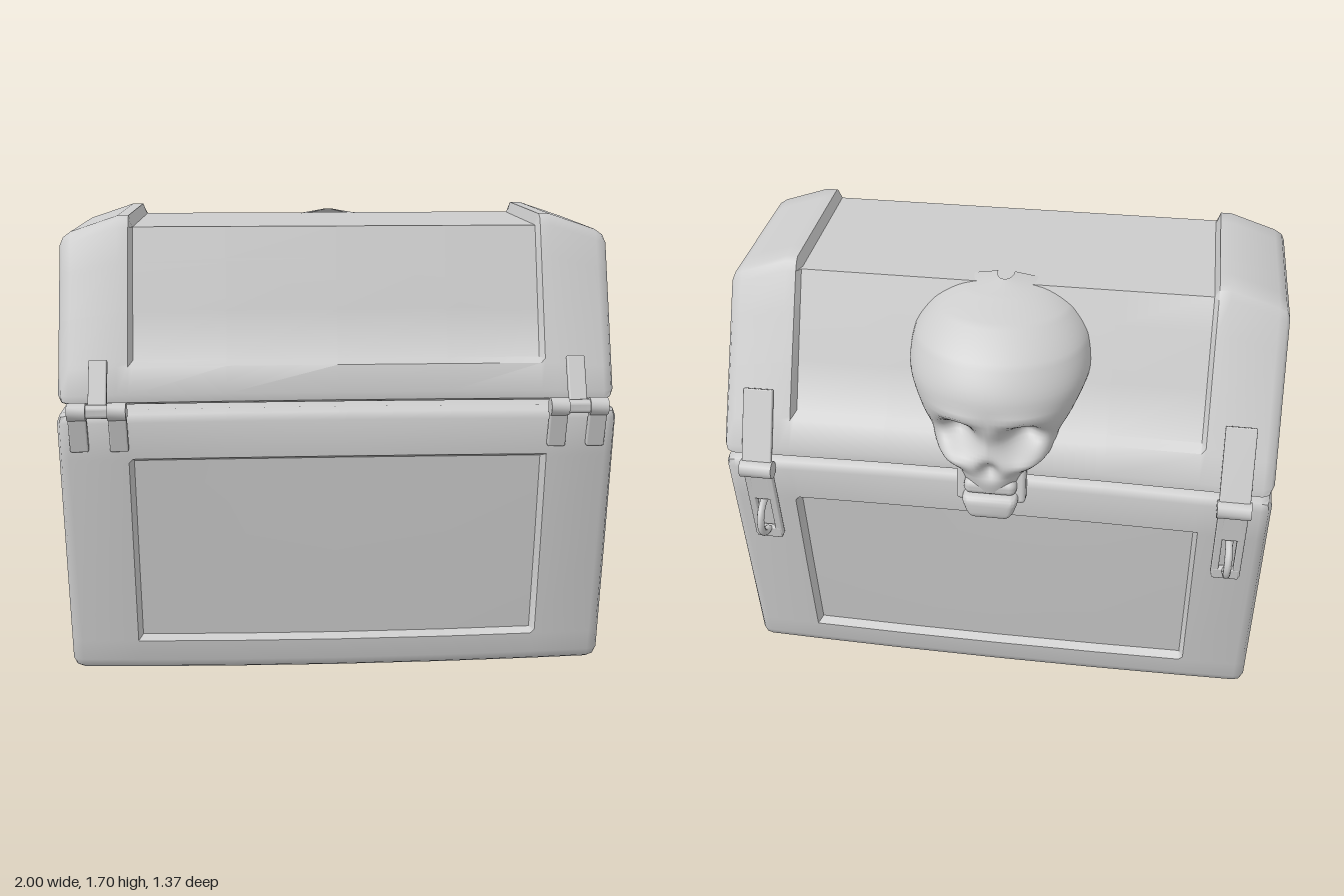
import * as THREE from 'three';
import { toCreasedNormals } from 'three/addons/utils/BufferGeometryUtils.js';
import { RoundedBoxGeometry } from 'three/addons/geometries/RoundedBoxGeometry.js';
import { ParametricGeometry } from 'three/addons/geometries/ParametricGeometry.js';

const material = new THREE.MeshStandardMaterial({ color: 0xcccccc });
const thin = new THREE.MeshStandardMaterial({ color: 0xcccccc, side: THREE.DoubleSide });
const { lerp, clamp } = THREE.MathUtils;

function add(parent, name, geometry, x = 0, y = 0, z = 0, mat = material) {
  const mesh = new THREE.Mesh(geometry, mat);
  mesh.name = name;
  mesh.position.set(x, y, z);
  parent.add(mesh);
  return mesh;
}

// Mirror a list of positive cut positions about zero
const sym = (list) => [...list.map((v) => -v).reverse(), 0, ...list];

// Box whose grid lines lie at given cuts, with edges rounded, then reshaped by a rule
function gridBox(xs, ys, zs, radius, rule) {
  const cuts = [xs, ys, zs];
  const geo = new THREE.BoxGeometry(2, 2, 2, ...cuts.map((c) => c.length - 1));
  const pos = geo.attributes.position;
  const normals = geo.attributes.normal;
  const p = new THREE.Vector3(), n = new THREE.Vector3(), q = new THREE.Vector3();
  for (let i = 0; i < pos.count; i++) {
    p.fromBufferAttribute(pos, i);
    n.fromBufferAttribute(normals, i);
    ['x', 'y', 'z'].forEach((k, a) => {
      const c = cuts[a], last = c.length - 1;
      p[k] = c[Math.round((p[k] + 1) / 2 * last)];
      q[k] = clamp(p[k], c[0] + radius, c[last] - radius);
    });
    p.sub(q).setLength(radius).add(q);
    rule(p, n);
    pos.setXYZ(i, p.x, p.y, p.z);
  }
  geo.deleteAttribute('normal');
  geo.deleteAttribute('uv');
  return toCreasedNormals(geo, 0.9);
}

// Flat bar in the y-z plane running between two [z, y] points
function bar(parent, name, x, width, thick, [z0, y0], [z1, y1]) {
  const length = Math.hypot(z1 - z0, y1 - y0);
  const geo = new RoundedBoxGeometry(width, length, thick, 2, thick * 0.25);
  const mesh = add(parent, name, geo, x, (y0 + y1) / 2, (z0 + z1) / 2);
  mesh.rotation.x = Math.atan2(z1 - z0, y1 - y0);
  return mesh;
}

function rod(parent, name, x, y, z, radius, length) {
  const geo = new THREE.CylinderGeometry(radius, radius, length, 16);
  add(parent, name, toCreasedNormals(geo, 0.9), x, y, z).rotation.z = Math.PI / 2;
}

// Tapered lower box with a sunken panel on each upright face
function bodyGeometry() {
  const xs = sym([0.4, 0.735, 0.75, 0.96, 1]);
  const ys = [0.01, 0.05, 0.13, 0.145, 0.5, 0.85, 0.865, 1, 1.04];
  const zs = sym([0.2, 0.415, 0.43, 0.56, 0.6]);
  return gridBox(xs, ys, zs, 0.04, (p, n) => {
    const t = (p.y - 0.01) / 1.03, a = Math.abs(p.z), s = Math.sign(p.z);
    const panelY = p.y > 0.14 && p.y < 0.86;
    const inner = lerp(0.41, 0.44, t), outer = lerp(0.51, 0.62, t);
    const sideInset = Math.abs(n.x) > 0.5 && a < 0.42 && panelY;
    const longInset = Math.abs(n.z) > 0.5 && Math.abs(p.x) < 0.74 && panelY;
    p.z = s * (a <= 0.43 ? a / 0.43 * inner : lerp(inner, outer, (a - 0.43) / 0.17));
    const bow = 1 - p.x * p.x;
    p.z = p.z * (1 - 0.045 * bow * t ** 4) + 0.015;
    if (longInset) p.z -= s * 0.035;
    if (sideInset) p.x -= Math.sign(p.x) * 0.035;
    if (p.y < 0.2) p.y += 0.015 * (1 - bow) - 0.005;
  });
}

// Sloped lid with raised end caps, a lowered middle and sunken end panels
function lidGeometry() {
  const xs = sym([0.4, 0.735, 0.75, 0.79, 0.96, 1]);
  const ys = [1.05, 1.09, 1.185, 1.2, 1.37, 1.535, 1.55, 1.66, 1.7];
  const zs = sym([0.2, 0.385, 0.4, 0.56, 0.6]);
  return gridBox(xs, ys, zs, 0.04, (p, n) => {
    const t = (p.y - 1.05) / 0.65, ax = Math.abs(p.x);
    const middle = ax < 0.74 && p.y > 1.195;
    const sideInset = Math.abs(n.x) > 0.5 && Math.abs(p.z) < 0.39 && p.y > 1.19 && p.y < 1.54;
    const bow = (1 - p.x * p.x) * (1 - t) ** 4;
    p.z = p.z * (1 - 0.5 * t) * (1 - 0.03 * bow) + lerp(-0.01, 0.04, t);
    if (middle) {
      p.z = (p.z - 0.03) * 0.93 + 0.03;
      p.y = Math.min(p.y, 1.66);
    } else {
      p.y -= 0.07 * t * Math.max(0, (ax - 0.79) / 0.21);
    }
    if (sideInset) p.x -= Math.sign(p.x) * 0.03;
  });
}

// Skull relief: half-sections listed as [y, half width, face z, rear z]
function skullGeometry() {
  const rows = [
    [1.675, 0.03, -0.26, -0.2], [1.65, 0.16, -0.34, -0.2], [1.6, 0.25, -0.47, -0.23],
    [1.52, 0.31, -0.58, -0.27], [1.41, 0.325, -0.65, -0.32], [1.3, 0.28, -0.66, -0.4],
    [1.22, 0.235, -0.655, -0.45], [1.15, 0.21, -0.675, -0.47], [1.09, 0.14, -0.665, -0.48],
    [1.02, 0.11, -0.65, -0.5],
  ];
  const sizes = new THREE.CatmullRomCurve3(rows.map((r) => new THREE.Vector3(r[1], r[2], r[3])));
  const heights = new THREE.CatmullRomCurve3(rows.map((r) => new THREE.Vector3(0, r[0], 0)));
  const dent = (x, y, cx, cy, rx, ry) => Math.exp(-(((x - cx) / rx) ** 2) - ((y - cy) / ry) ** 2);
  const geo = new ParametricGeometry((u, v, out) => {
    const angle = (u - 0.5) * Math.PI;
    const s = sizes.getPoint(v), y = heights.getPoint(v).y;
    const x = s.x * Math.sin(angle);
    let z = lerp(s.z, s.y, Math.cos(angle) ** 0.8);
    // Eye sockets and nose
    z += 0.1 * dent(Math.abs(x), y, 0.115, 1.24, 0.065, 0.055);
    z += 0.045 * dent(x, y, 0, 1.125, 0.035, 0.035);
    // Brow and cheekbones
    z -= 0.015 * dent(Math.abs(x), y, 0.11, 1.33, 0.09, 0.03);
    z -= 0.02 * dent(Math.abs(x), y, 0.14, 1.15, 0.05, 0.03);
    out.set(x, y, z);
  }, 48, 48);
  return geo;
}

export function createModel() {
  const chest = new THREE.Group();
  chest.name = 'chest';
  add(chest, 'body', bodyGeometry());
  add(chest, 'lid', lidGeometry());

  for (const side of [-1, 1]) {
    // Front hinge: one lid leaf between two body leaves on a pin
    const hinge = new THREE.Group();
    hinge.name = side > 0 ? 'leftHinge' : 'rightHinge';
    const x = side * 0.85;
    bar(hinge, 'lidLeaf', x, 0.065, 0.025, [0.645, 1.04], [0.56, 1.215]);
    for (const d of [-0.07, 0.07]) {
      bar(hinge, 'bodyLeaf', x + d, 0.065, 0.025, [0.655, 1.06], [0.62, 0.9]);
      rod(hinge, 'knuckle', x + d, 1.05, 0.65, 0.032, 0.065);
    }
    rod(hinge, 'pin', x, 1.05, 0.65, 0.025, 0.2);
    chest.add(hinge);

    // Rear latch: strap on the lid, pin, hasp and staple loop
    const latch = new THREE.Group();
    latch.name = side > 0 ? 'leftLatch' : 'rightLatch';
    const lx = side * 0.865;
    bar(latch, 'strap', lx, 0.11, 0.02, [-0.5, 1.29], [-0.625, 1.03]);
    rod(latch, 'latchPin', lx, 1.02, -0.625, 0.033, 0.12);
    for (const d of [-0.04, 0.04]) bar(latch, 'haspSide', lx + d, 0.028, 0.025, [-0.62, 1.02], [-0.585, 0.68]);
    bar(latch, 'haspTop', lx, 0.1, 0.025, [-0.617, 1], [-0.605, 0.87]);
    bar(latch, 'haspBottom', lx, 0.1, 0.025, [-0.59, 0.72], [-0.586, 0.67]);
    const loop = add(latch, 'staple', new THREE.TorusGeometry(0.07, 0.014, 8, 24, Math.PI), lx, 0.785, -0.597);
    loop.rotation.set(0, Math.PI / 2, Math.PI / 2 + 0.05, 'YXZ');
    loop.rotation.z = Math.PI / 2;
    loop.rotation.y = Math.PI / 2;
    loop.scale.y = 1.05;
    // Turn the arc so it bulges to the rear
    loop.rotation.set(0, Math.PI / 2, 0);
    loop.rotation.order = 'YXZ';
    loop.rotation.z = -Math.PI / 2;
    chest.add(latch);
  }

  // Skull ornament on the rear
  const skull = new THREE.Group();
  skull.name = 'skull';
  add(skull, 'cranium', skullGeometry(), 0, 0, 0, thin);
  add(skull, 'upperTeeth', new RoundedBoxGeometry(0.19, 0.06, 0.12, 3, 0.025), 0, 1.035, -0.59);
  const jawGeo = new RoundedBoxGeometry(0.22, 0.1, 0.13, 4, 0.035);
  const jp = jawGeo.attributes.position;
  for (let i = 0; i < jp.count; i++) jp.setX(i, jp.getX(i) * (0.85 + jp.getY(i) * 3));
  jawGeo.computeVertexNormals();
  add(skull, 'jaw', toCreasedNormals(jawGeo, 0.9), 0, 0.96, -0.61);
  for (const s of [-1, 1]) bar(skull, 'jawHinge', s * 0.105, 0.04, 0.06, [-0.6, 0.96], [-0.57, 1.13]);
  chest.add(skull);
  return chest;
}
